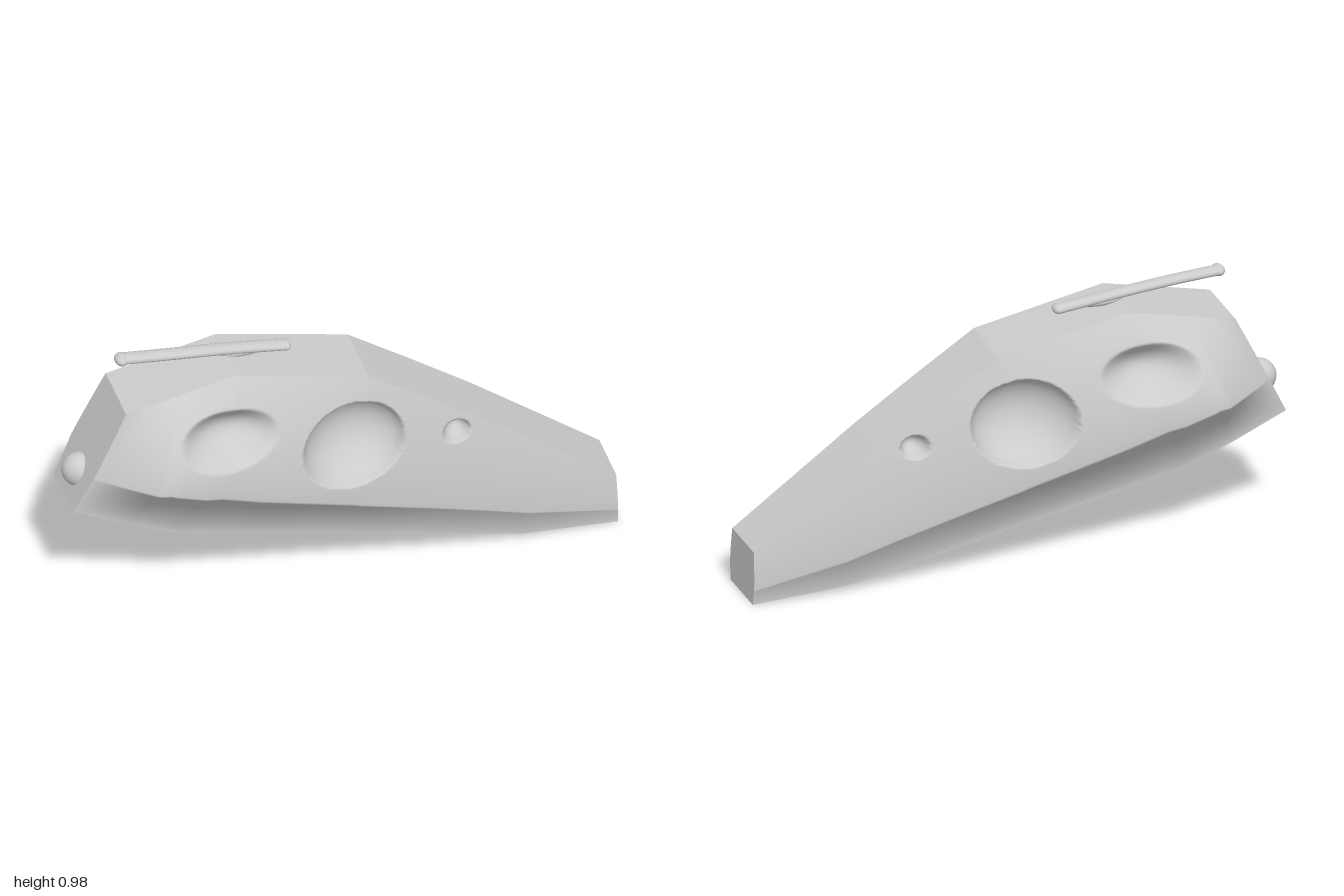
import * as THREE from 'three';

const material = new THREE.MeshStandardMaterial({ color: 0xcccccc, roughness: 0.9 });

// Side outline and widths, as [x, value] pairs
const topEdge = [[-0.8, 0.825], [-0.4, 0.915], [0.08, 0.82], [0.52, 0.535], [0.99, 0.205]];
const bottomEdge = [[-0.99, 0.44], [-0.8, 0.355], [-0.62, 0.28], [0.0, 0.158], [0.65, 0.025], [0.995, 0.005]];
const cheekWidth = [[-0.94, 0.13], [-0.88, 0.175], [-0.72, 0.292], [-0.66, 0.303], [-0.55, 0.298], [-0.2, 0.256], [0.3, 0.194], [0.99, 0.122]];
const topWidth = [[-0.8, 0.13], [0.3, 0.13], [0.99, 0.108]];
const bottomWidth = [[-0.99, 0.125], [0.3, 0.128], [0.99, 0.112]];

// Height of the cheek ridge as a share of the flank, by position from back to snout
const cheekHeight = [[0, 0.36], [0.12, 0.42], [0.3, 0.34], [0.5, 0.275], [1, 0.28]];
const ridgeRow = 0.35;

// Hollows in each flank: centre, radii, depth, steepness of the rim
const hollows = [
  { x: 0.01, y: 0.58, rx: 0.19, ry: 0.155, depth: 0.13, power: 0.65 },
  { x: -0.45, y: 0.71, rx: 0.185, ry: 0.105, depth: 0.1, power: 1.3 },
  { x: 0.4, y: 0.53, rx: 0.05, ry: 0.042, depth: 0.06, power: 0.7 },
];

function sample(points, x) {
  if (x <= points[0][0]) return points[0][1];
  for (let i = 1; i < points.length; i++) {
    const [x0, y0] = points[i - 1], [x1, y1] = points[i];
    if (x <= x1) return y0 + (y1 - y0) * (x - x0) / (x1 - x0);
  }
  return points[points.length - 1][1];
}

// Point on the left flank: s runs back to snout, v bottom to top, with one row on the ridge
function flank(s, v) {
  const xt = -0.8 + 1.79 * s, xb = -0.99 + 1.985 * s;
  const yb = sample(bottomEdge, xb), yt = sample(topEdge, xt);
  const h = sample(cheekHeight, s);
  const low = v / ridgeRow, high = (v - ridgeRow) / (1 - ridgeRow);
  const t = v < ridgeRow ? low * h : h + high * (1 - h);
  const x = xb + (xt - xb) * t;
  const y = yb + (yt - yb) * t;
  const ridge = sample(cheekWidth, xb + (xt - xb) * h);
  const top = sample(topWidth, xt), bottom = sample(bottomWidth, xb);
  let z = v < ridgeRow
    ? bottom + (ridge - bottom) * Math.pow(low, 1.6)
    : top + (ridge - top) * (1 - Math.pow(high, 1.75));
  for (const o of hollows) {
    const d2 = ((x - o.x) / o.rx) ** 2 + ((y - o.y) / o.ry) ** 2;
    if (d2 < 1) z -= o.depth * Math.pow(1 - d2, o.power);
  }
  return [x, y, z];
}

// Grid surface from a rule giving a point for (u, v)
function surface(name, nu, nv, rule, flip = false) {
  const pos = [], index = [];
  for (let j = 0; j <= nv; j++)
    for (let i = 0; i <= nu; i++) pos.push(...rule(i / nu, j / nv));
  for (let j = 0; j < nv; j++)
    for (let i = 0; i < nu; i++) {
      const a = j * (nu + 1) + i, b = a + 1, c = a + nu + 1, d = c + 1;
      if (flip) index.push(a, d, b, a, c, d);
      else index.push(a, b, d, a, d, c);
    }
  const geo = new THREE.BufferGeometry();
  geo.setAttribute('position', new THREE.Float32BufferAttribute(pos, 3));
  geo.setIndex(index);
  geo.computeVertexNormals();
  const mesh = new THREE.Mesh(geo, material);
  mesh.name = name;
  return mesh;
}

// Point between the two flanks; k runs from left (1) to right (-1)
const across = (s, v, k) => {
  const [x, y, z] = flank(s, v);
  return [x, y, z * k];
};

function ball(name, x, y, z, rx, ry, rz) {
  const mesh = new THREE.Mesh(new THREE.SphereGeometry(1, 24, 16), material);
  mesh.scale.set(rx, ry, rz);
  mesh.position.set(x, y, z);
  mesh.name = name;
  return mesh;
}

export function createModel() {
  const model = new THREE.Group();
  model.name = 'skull';

  // Flanks with hollows
  model.add(surface('leftFlank', 240, 120, flank));
  model.add(surface('rightFlank', 240, 120, (s, v) => across(s, v, -1), true));

  // Roof, underside and the two ends
  model.add(surface('roof', 240, 4, (u, v) => across(u, 1, 1 - 2 * v)));
  model.add(surface('underside', 240, 4, (u, v) => across(u, 0, 2 * v - 1)));
  model.add(surface('snoutEnd', 4, 120, (u, v) => across(1, v, 1 - 2 * u)));
  model.add(surface('backEnd', 4, 120, (u, v) => across(0, v, 2 * u - 1)));

  // Rounded knob on the back of the skull
  model.add(ball('neckKnob', -0.935, 0.53, 0, 0.062, 0.062, 0.062));

  // Slim rod lying along the roof
  const rod = new THREE.Group();
  rod.name = 'roofRod';
  const path = new THREE.CatmullRomCurve3([
    [-0.785, 0.966, -0.005], [-0.6, 0.953, -0.003], [-0.4, 0.936, -0.004], [-0.18, 0.912, -0.004],
  ].map(p => new THREE.Vector3(...p)));
  const shaft = new THREE.Mesh(new THREE.TubeGeometry(path, 40, 0.017, 12), material);
  shaft.name = 'rodShaft';
  shaft.scale.z = 1.75;
  rod.add(shaft);
  rod.add(ball('rodBackTip', -0.779, 0.965, -0.006, 0.024, 0.02, 0.034));
  rod.add(ball('rodFrontTip', -0.182, 0.912, -0.007, 0.02, 0.017, 0.03));
  rod.add(ball('rodFoot', -0.34, 0.918, -0.007, 0.08, 0.018, 0.026));
  model.add(rod);

  return model;
}
